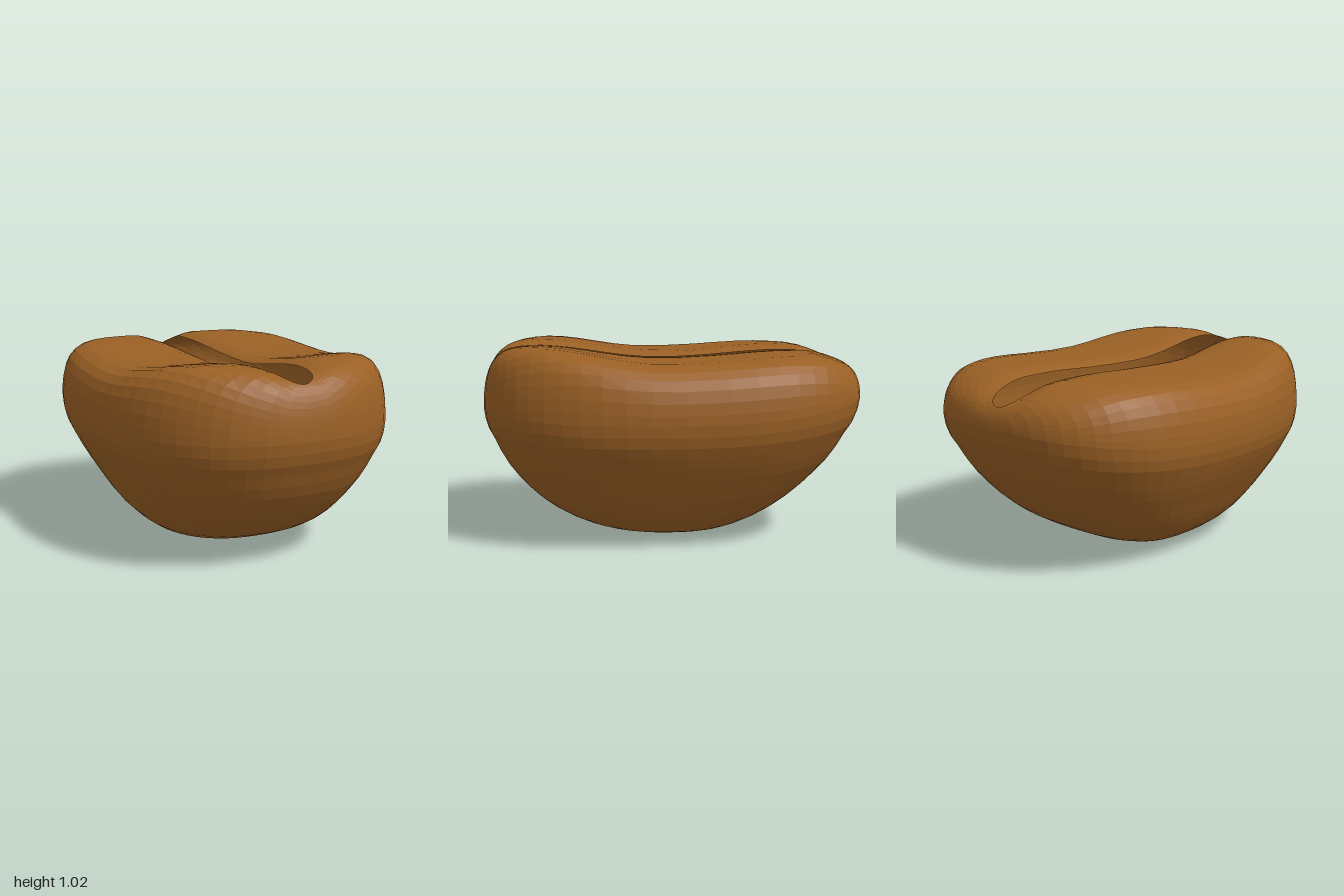
import * as THREE from 'three';

const COLUMNS = 56;
const BASE_ROWS = 17;
const HALF_WIDTH = 0.765;

const smooth = (a, b, v) => THREE.MathUtils.smoothstep(v, a, b);
const power = (v, p) => Math.sign(v) * Math.pow(Math.abs(v), p);

// Plan outline: a superellipse, squarer at the back than at the front
const exponent = (z) => (z > 0 ? 2.42 : 2.85);

function outline(t) {
  const n = exponent(Math.sin(t));
  return [HALF_WIDTH * power(Math.cos(t), 2 / n), power(Math.sin(t), 2 / n)];
}

// 0 at the middle, 1 on the outline
function reach(x, z) {
  const n = exponent(z);
  return Math.min(1, Math.pow(Math.pow(Math.abs(x) / HALF_WIDTH, n) + Math.pow(Math.abs(z), n), 1 / n));
}

// Height of the widest line around the bean
const rimHeight = (z) => 0.67 + (z > 0 ? 0.015 : 0.08) * z * z;

// Wavy centre line and half width of the open slit
const slitCurve = new THREE.SplineCurve([
  [-0.02, 0.1], [-0.025, 0.1], [-0.005, 0.09], [0.005, 0.085], [-0.028, 0.1], [-0.01, 0.1], [0, 0.095],
].map(([c, w]) => new THREE.Vector2(c, w)));
const slitAt = (z) => slitCurve.getPoint(THREE.MathUtils.clamp((z + 1) / 2, 0, 1));

function slitPoint(x, z) {
  const zs = -0.02 + 0.945 * z;
  const { x: centre, y: half } = slitAt(zs);
  const round = Math.sqrt(Math.max(0, 1 - Math.pow(Math.abs(z), 16)));
  const side = Math.abs(x) < 1e-6 ? 0 : Math.sign(x);
  return [centre + side * half * round, zs];
}

// Saddle-shaped top that rounds off to the rim and dips at the slit
function topHeight(x, z) {
  const front = smooth(0.1, 0.75, z);
  const crown = 0.945 + front * (0.07 + 0.015 * smooth(0.1, 0.5, Math.abs(x)))
    + 0.03 * smooth(0, 0.6, -z) - 0.04 * smooth(0.7, 0.95, -z);
  const rim = rimHeight(z);
  const fall = Math.sqrt(Math.max(0, 1 - Math.pow(reach(x, z), 12 + 5 * z * z)));
  const { x: centre, y: half } = slitAt(z);
  const gap = Math.max(0, Math.abs(x - centre) - half);
  const dip = 0.025 * Math.pow(Math.max(0, 1 - gap / 0.12), 2);
  return rim + (crown - rim - dip) * fall;
}

// Underside profile: [scale in x, share of rim height, scale in z]
const baseCurve = new THREE.CatmullRomCurve3([
  [1, 1, 1], [0.988, 0.87, 0.985], [0.945, 0.75, 0.945], [0.88, 0.61, 0.9], [0.8, 0.46, 0.825],
  [0.73, 0.33, 0.74], [0.65, 0.21, 0.63], [0.55, 0.115, 0.5], [0.45, 0.06, 0.38],
  [0.32, 0.025, 0.25], [0.16, 0.006, 0.12], [0, 0, 0],
].map((p) => new THREE.Vector3(...p)));

function shellGeometry() {
  // Rows from the slit out to the rim, then down to the base
  const topRows = [0, 0.05, 0.12, 0.2, 0.35, 0.5, 0.65, 0.77, 0.86, 0.92, 0.96, 0.985, 0.997, 1];
  const positions = [];
  const index = [];
  const columns = Array.from({ length: COLUMNS }, (_, j) => outline((j / COLUMNS) * Math.PI * 2));

  for (const u of topRows) {
    for (const [rx, rz] of columns) {
      const [sx, sz] = slitPoint(rx, rz);
      const x = sx + (rx - sx) * u;
      const z = sz + (rz - sz) * u;
      positions.push(x, u === 1 ? rimHeight(rz) : topHeight(x, z), z);
    }
  }
  for (let i = 1; i <= BASE_ROWS; i++) {
    const { x: sx, y: share, z: sz } = baseCurve.getPoint(i / BASE_ROWS);
    // The back slopes in more than the front
    const back = sz - 0.38 * sz * (1 - sz);
    for (const [rx, rz] of columns) {
      positions.push(rx * sx, rimHeight(rz) * share, rz * (rz > 0 ? sz : back));
    }
  }

  const rows = topRows.length + BASE_ROWS;
  for (let i = 0; i < rows - 1; i++) {
    for (let j = 0; j < COLUMNS; j++) {
      const k = (j + 1) % COLUMNS;
      const a = i * COLUMNS + j, b = i * COLUMNS + k;
      const c = a + COLUMNS, d = b + COLUMNS;
      index.push(a, b, c);
      if (i < rows - 2) index.push(b, d, c);
    }
  }

  const geometry = new THREE.BufferGeometry();
  geometry.setAttribute('position', new THREE.Float32BufferAttribute(positions, 3));
  geometry.setIndex(index);
  const faceted = geometry.toNonIndexed();
  faceted.computeVertexNormals();
  return faceted;
}

export function createModel() {
  const group = new THREE.Group();
  group.name = 'coffeeBean';

  // Hollow shell, open along the slit
  const roastedBrown = new THREE.MeshStandardMaterial({
    color: 0x9a6025, flatShading: true, side: THREE.DoubleSide,
  });
  roastedBrown.name = 'roastedBrown';

  const shell = new THREE.Mesh(shellGeometry(), roastedBrown);
  shell.name = 'beanShell';
  group.add(shell);
  return group;
}
